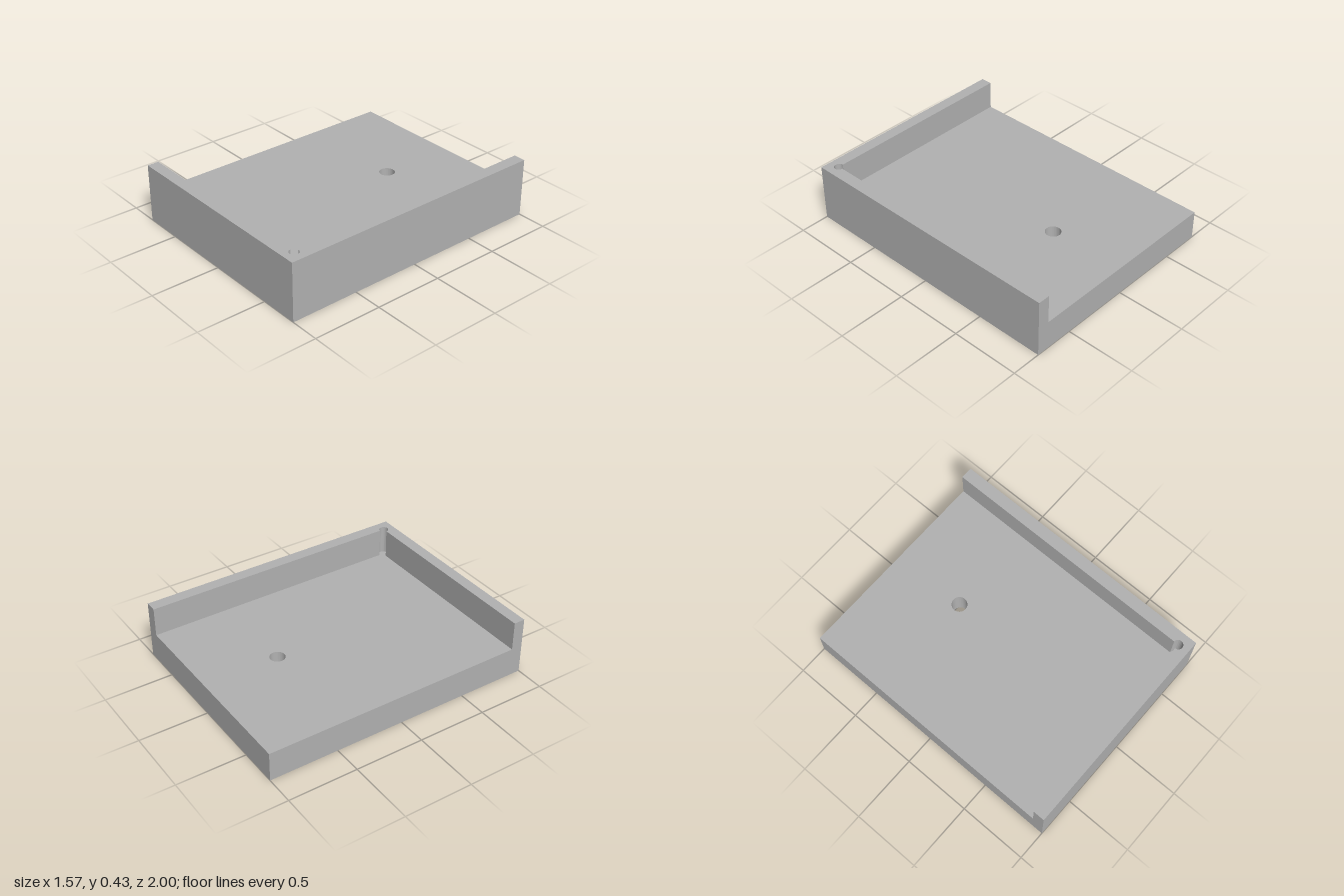
import * as THREE from 'three';
import { toCreasedNormals } from 'three/addons/utils/BufferGeometryUtils.js';

const W = 0.787, L = 1;             // half width, half length
const FLOOR = 0.213, TOP = 0.426;   // tray floor and wall top
const RECESS = 0.02;                // depth of the underside recesses
const INNER_X = 0.7, INNER_Z = 0.917, RELIEF = 0.034;

// Shapes are drawn in (x, z) and extruded between two heights.
function slab(name, shape, bottom, top, material) {
  const geometry = new THREE.ExtrudeGeometry(shape, {
    depth: top - bottom, bevelEnabled: false, curveSegments: 40,
  });
  geometry.rotateX(Math.PI / 2).translate(0, top, 0);
  const mesh = new THREE.Mesh(toCreasedNormals(geometry, 0.6), material);
  mesh.name = name;
  return mesh;
}

function rectangle(Type, x0, x1, z0, z1) {
  return new Type([[x0, z0], [x1, z0], [x1, z1], [x0, z1]].map(([x, z]) => new THREE.Vector2(x, z)));
}

function plate(holeRadius) {
  const shape = rectangle(THREE.Shape, -W, W, -L, L);
  shape.holes.push(new THREE.Path().absarc(0.025, -0.44, holeRadius, 0, Math.PI * 2, true));
  return shape;
}

export function createModel() {
  const group = new THREE.Group();
  group.name = 'cornerTray';
  const grey = new THREE.MeshStandardMaterial({ color: 0xb2b2b2 });
  grey.name = 'grey';

  // Underside layer: wider counterbore and two shallow grooves
  const lower = plate(0.066);
  for (const x of [-0.455, -0.395]) {
    lower.holes.push(rectangle(THREE.Path, x - 0.021, x + 0.021, 0.51, 0.69));
  }
  group.add(slab('underside', lower, 0, RECESS, grey));

  // Main floor with the through hole
  group.add(slab('floor', plate(0.055), RECESS, FLOOR, grey));

  // L-shaped wall with a round relief cut in the inner corner
  const wall = new THREE.Shape();
  wall.moveTo(-W, L);
  wall.lineTo(W, L);
  wall.lineTo(W, -L);
  wall.lineTo(INNER_X, -L);
  wall.lineTo(INNER_X, INNER_Z - RELIEF);
  wall.absarc(INNER_X, INNER_Z, RELIEF, -Math.PI / 2, Math.PI, false);
  wall.lineTo(-W, INNER_Z);
  wall.closePath();
  group.add(slab('cornerWall', wall, FLOOR, TOP, grey));

  return group;
}
